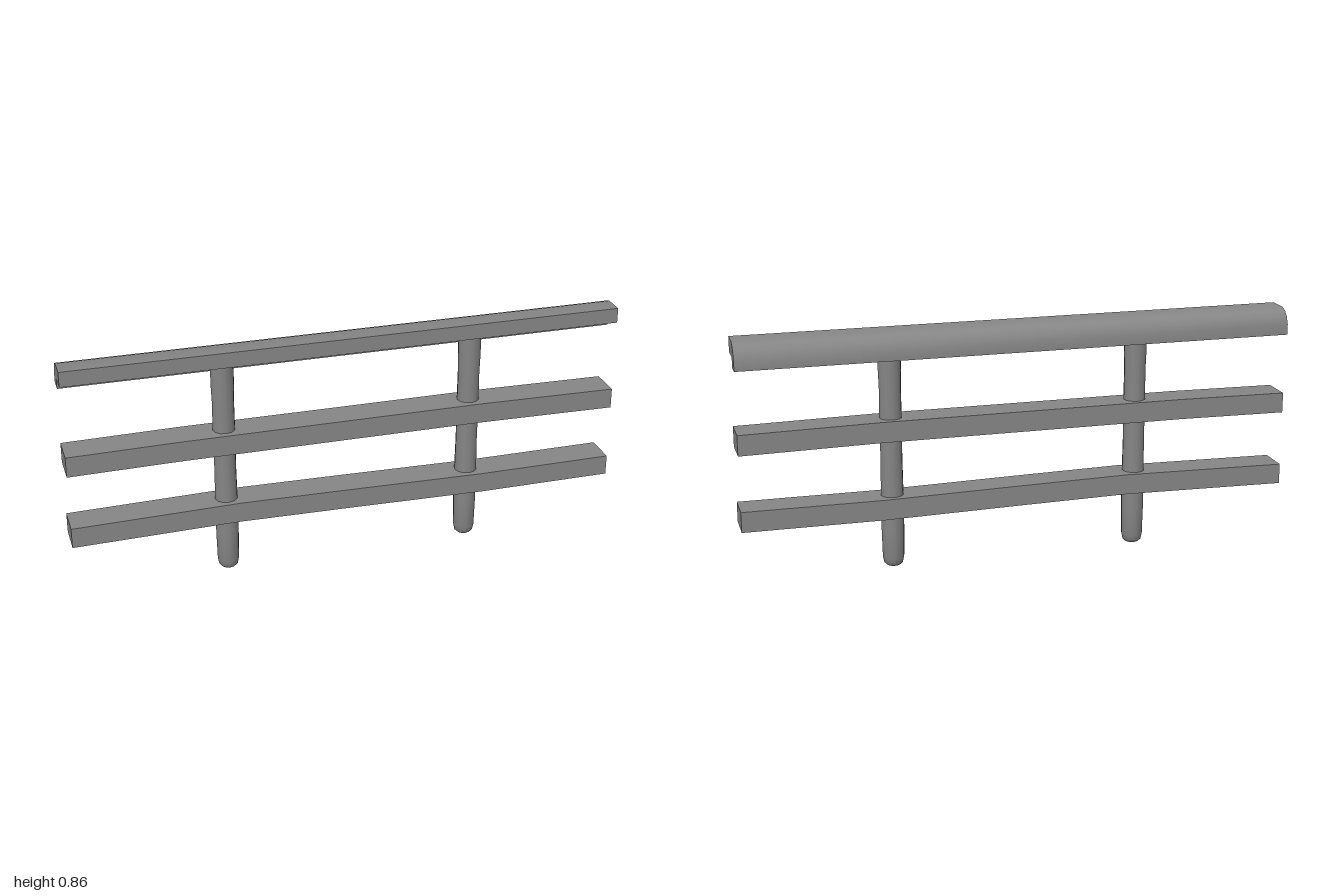
import * as THREE from 'three';
import { toCreasedNormals } from 'three/addons/utils/BufferGeometryUtils.js';

const material = new THREE.MeshStandardMaterial({ color: 0x868686 });

function addMesh(group, name, geometry, crease) {
  const mesh = new THREE.Mesh(toCreasedNormals(geometry, crease), material);
  mesh.name = name;
  group.add(mesh);
  return mesh;
}

// Linear interpolation through [x, y] points
function follow(points, x) {
  for (let i = 1; i < points.length; i++) {
    const [x0, y0] = points[i - 1], [x1, y1] = points[i];
    if (x <= x1 + 1e-6) return y0 + (y1 - y0) * (x - x0) / (x1 - x0);
  }
  return points[points.length - 1][1];
}

// Square rail, slightly bowed along its centre line
function railGeometry(line) {
  const geometry = new THREE.BoxGeometry(2, 0.074, 0.119, 20, 1, 1);
  const p = geometry.attributes.position;
  for (let i = 0; i < p.count; i++) p.setY(i, p.getY(i) + follow(line, p.getX(i)));
  geometry.translate(0, 0, 0.0065);
  return geometry;
}

// Cap rail: rounded at the back, with a lip hanging behind the posts
function handrailGeometry() {
  const profile = [
    [-0.066, 0.805], [0.01, 0.805], [0.01, 0.767], [0.065, 0.767], [0.065, 0.805],
    [0.053, 0.833], [0.036, 0.851], [0.01, 0.86], [-0.066, 0.86],
  ].map(([z, y]) => new THREE.Vector2(z, y));
  const geometry = new THREE.ExtrudeGeometry(new THREE.Shape(profile), { depth: 2, bevelEnabled: false });
  geometry.translate(0, 0, -1);
  geometry.rotateY(Math.PI / 2);
  return geometry;
}

// Round post with a tapered foot
function postGeometry() {
  const profile = [
    [0, 0.001], [0.026, 0.004], [0.034, 0.012], [0.039, 0.035], [0.041, 0.14],
    [0.041, 0.25], [0.039, 0.4], [0.04, 0.52], [0.039, 0.66], [0.041, 0.72], [0.041, 0.81],
    [0, 0.81],
  ].map(([r, y]) => new THREE.Vector2(r, y));
  return new THREE.LatheGeometry(profile, 12);
}

export function createModel() {
  const group = new THREE.Group();
  group.name = 'fence';

  addMesh(group, 'handrail', handrailGeometry(), 0.6);
  addMesh(group, 'middleRail', railGeometry([[-1, 0.507], [-0.6, 0.512], [0.5, 0.512], [1, 0.505]]), 0.5);
  addMesh(group, 'lowerRail', railGeometry([[-1, 0.232], [-0.4, 0.243], [0, 0.237], [0.5, 0.228], [1, 0.23]]), 0.5);

  for (const [name, x] of [['rightPost', -0.44], ['leftPost', 0.46]]) {
    addMesh(group, name, postGeometry(), 0.6).position.set(x, 0, 0.006);
  }
  return group;
}
